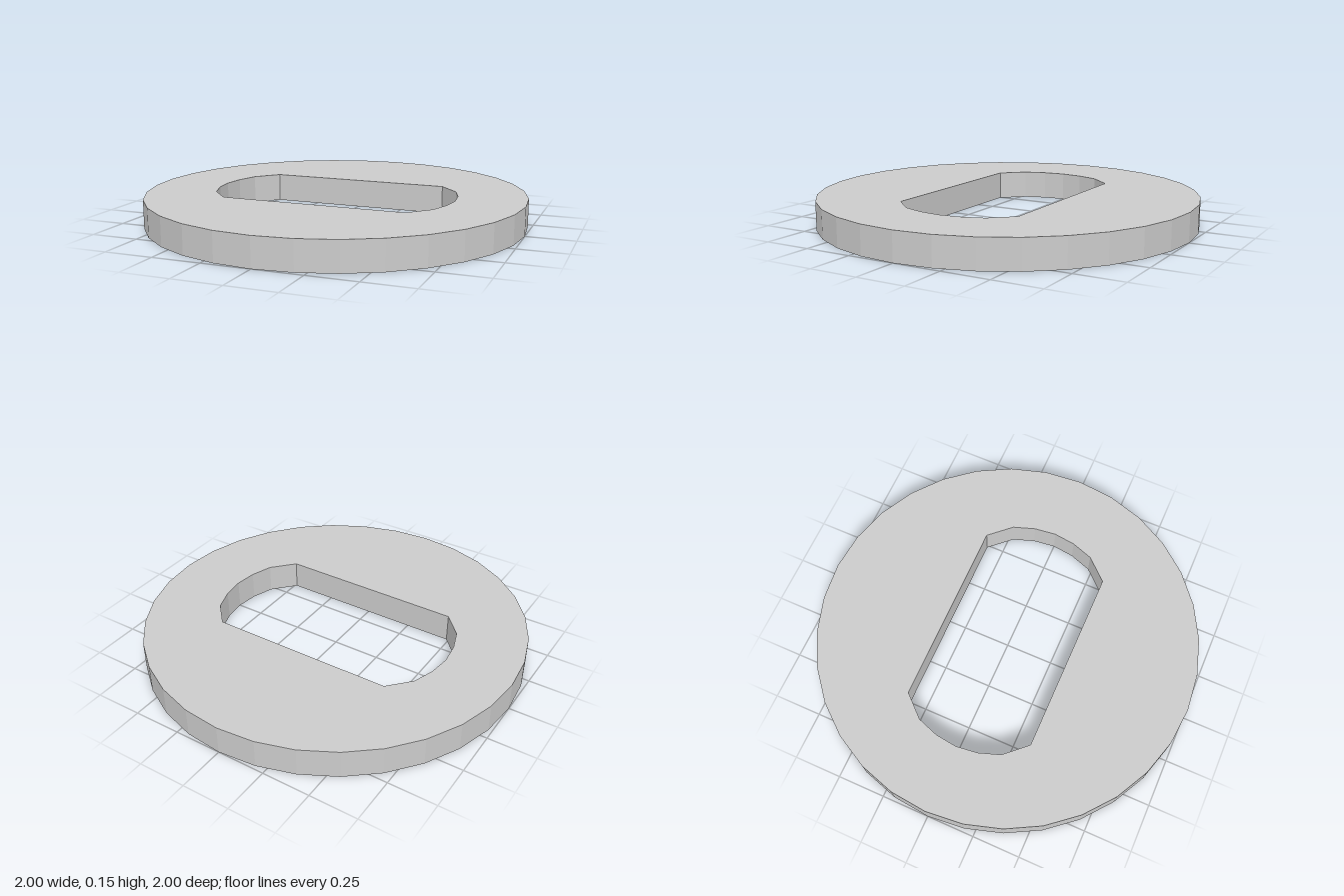
import * as THREE from 'three';

const THICKNESS = 0.15;
const SIDES = 32;

export function createModel() {
  const group = new THREE.Group();
  group.name = 'slottedWasher';

  // Faceted round outline
  const outline = [];
  for (let i = 0; i < SIDES; i++) {
    const a = (i / SIDES) * Math.PI * 2;
    outline.push(new THREE.Vector2(Math.cos(a), Math.sin(a)));
  }
  const shape = new THREE.Shape(outline);

  // Slot with two flat sides and bowed ends: one end, then the same end turned half round
  const end = [[0.488, -0.34], [0.592, -0.227], [0.631, -0.114], [0.645, 0],
    [0.631, 0.114], [0.592, 0.227], [0.488, 0.34]];
  const slot = [1, -1].flatMap((s) => end.map(([x, y]) => new THREE.Vector2(s * x, s * y)));
  shape.holes.push(new THREE.Path(slot));

  // Flat disc, laid down on the ground plane
  const geometry = new THREE.ExtrudeGeometry(shape, { depth: THICKNESS, bevelEnabled: false });
  geometry.rotateX(-Math.PI / 2);
  const disc = new THREE.Mesh(
    geometry,
    new THREE.MeshStandardMaterial({ color: 0xcccccc, flatShading: true })
  );
  disc.name = 'slottedDisc';
  group.add(disc);
  return group;
}
